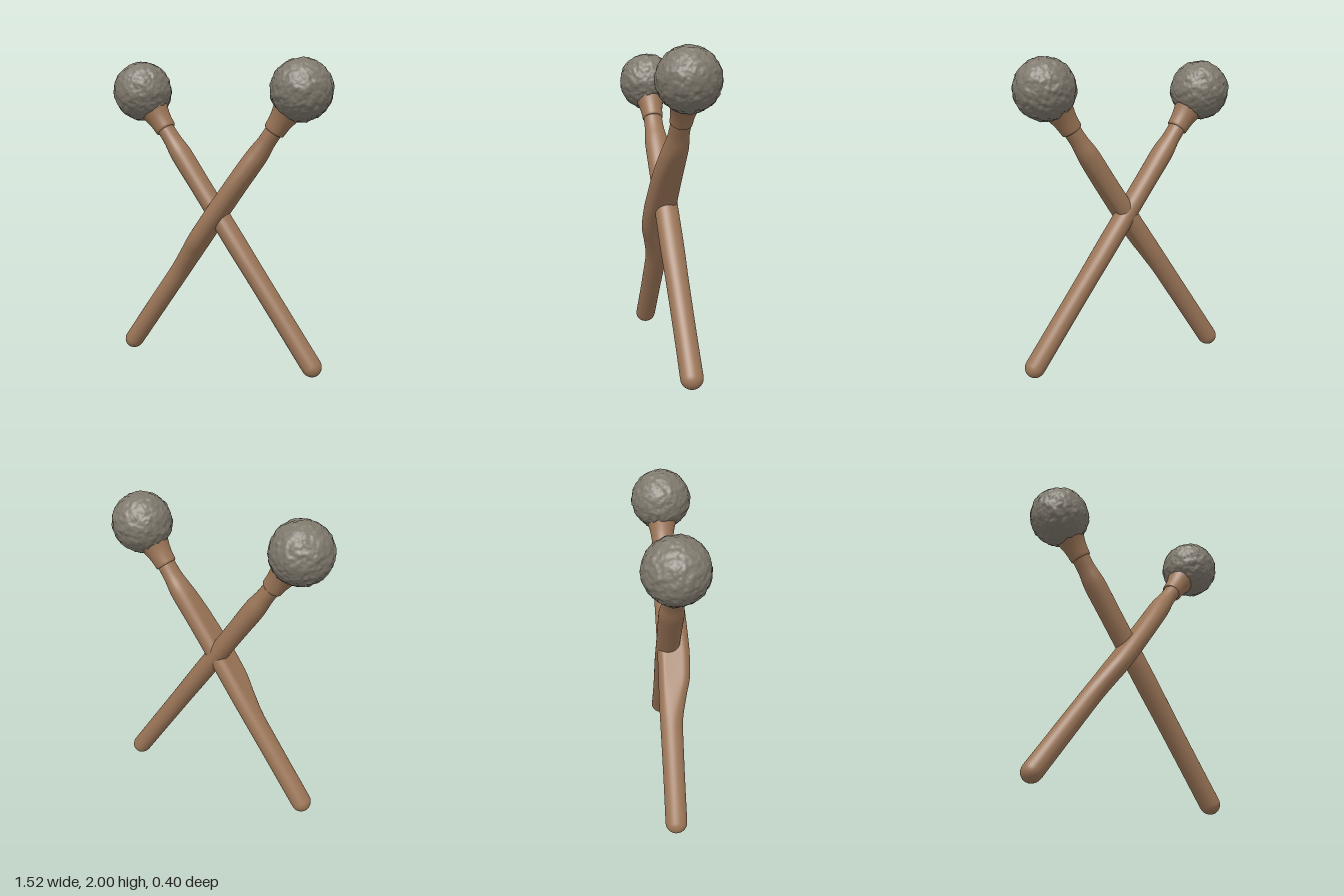
import * as THREE from 'three';
import { mergeVertices } from 'three/addons/utils/BufferGeometryUtils.js';

const wood = new THREE.MeshStandardMaterial({ color: 0x9c7658 });
wood.name = 'brown wood';
const stone = new THREE.MeshStandardMaterial({ color: 0x7f796d });
stone.name = 'grey stone';

const TILT = Math.atan2(1.225, 1.735);
const HEAD_Y = 2.122;

// Stations along the shaft: [height, half width, half depth, forward swell]
const STATIONS = [
  [0.0, 0.064, 0.07, 0], [0.3, 0.064, 0.07, 0], [0.62, 0.064, 0.073, 0], [0.8, 0.065, 0.077, 0.028],
  [0.92, 0.066, 0.078, 0.056], [1.04, 0.066, 0.078, 0.063], [1.16, 0.066, 0.078, 0.061],
  [1.4, 0.066, 0.078, 0.043], [1.56, 0.068, 0.079, 0.018], [1.64, 0.066, 0.077, 0.003],
  [1.73, 0.056, 0.066, 0], [1.84, 0.055, 0.063, 0],
];

// Shaft lofted from rounded sections, with a domed foot and an optional forward swell
function shaftGeometry(swollen) {
  const spline = (f) => new THREE.CatmullRomCurve3(STATIONS.map(f), false, 'catmullrom');
  const size = spline((s) => new THREE.Vector3(s[0], s[1], s[2]));
  const swell = spline((s) => new THREE.Vector3(s[0], s[3], 0));
  const rings = [];
  for (let i = 0; i < 8; i++) {
    const p = (i / 8) * Math.PI / 2, k = Math.max(Math.sin(p), 0.002);
    rings.push([-0.068 * Math.cos(p), 0.064 * k, 0.07 * k, 0]);
  }
  for (let i = 0; i <= 66; i++) {
    const p = size.getPoint(i / 66), d = swell.getPoint(i / 66).y;
    rings.push([p.x, p.y, p.z, swollen ? Math.max(d, 0) : 0]);
  }
  const N = 40, pos = [], idx = [];
  rings.forEach(([y, a, b, d], i) => {
    for (let j = 0; j < N; j++) {
      const t = (j / N) * Math.PI * 2, c = Math.cos(t), s = Math.sin(t);
      const pinch = 1 - 2.2 * d * Math.max(0, 1 - (s / 0.5) ** 2);
      const back = s < 0 ? 1 - 1.5 * d : 1;
      pos.push(c * a * pinch, y, s * b * back + d * THREE.MathUtils.smoothstep(s, -0.4, 0.4));
      if (i === rings.length - 1) continue;
      const p = i * N + j, q = i * N + (j + 1) % N;
      idx.push(p, p + N, q, q, p + N, q + N);
    }
  });
  const g = new THREE.BufferGeometry();
  g.setAttribute('position', new THREE.Float32BufferAttribute(pos, 3));
  g.setIndex(idx);
  g.computeVertexNormals();
  return g;
}

// Smooth value noise in 0..1
function hash(x, y, z) {
  const n = Math.sin(x * 127.1 + y * 311.7 + z * 74.7) * 43758.5453;
  return n - Math.floor(n);
}
function noise(x, y, z) {
  const X = Math.floor(x), Y = Math.floor(y), Z = Math.floor(z);
  const e = (v) => v * v * (3 - 2 * v);
  const u = e(x - X), v = e(y - Y), w = e(z - Z);
  let sum = 0;
  for (let i = 0; i < 2; i++) for (let j = 0; j < 2; j++) for (let k = 0; k < 2; k++) {
    sum += hash(X + i, Y + j, Z + k) * (i ? u : 1 - u) * (j ? v : 1 - v) * (k ? w : 1 - w);
  }
  return sum;
}

// Ball with a rough, pitted surface
function headGeometry(seed) {
  let g = new THREE.IcosahedronGeometry(1, 36);
  g.deleteAttribute('uv');
  g.deleteAttribute('normal');
  g = mergeVertices(g, 1e-4);
  const p = g.attributes.position, v = new THREE.Vector3();
  for (let i = 0; i < p.count; i++) {
    v.fromBufferAttribute(p, i).normalize();
    const f = (k) => noise(v.x * k + seed, v.y * k + seed, v.z * k + seed);
    v.multiplyScalar(0.193 + (f(7) - 0.5) * 0.011 + (f(14) - 0.5) * 0.005);
    p.setXYZ(i, v.x, v.y, v.z);
  }
  g.computeVertexNormals();
  return g;
}

// Flared collar below the head, with a rounded lip
function collarGeometry() {
  const profile = [
    [0.05, 1.812], [0.064, 1.812], [0.069, 1.817], [0.07, 1.83], [0.073, 1.87],
    [0.08, 1.91], [0.091, 1.95], [0.104, 1.985], [0.118, 2.02],
  ];
  return new THREE.LatheGeometry(profile.map(([r, y]) => new THREE.Vector2(r, y)), 40);
}

function mallet(name, side, swollen) {
  const group = new THREE.Group();
  group.name = name;
  const add = (part, geometry, material) => {
    const mesh = new THREE.Mesh(geometry, material);
    mesh.name = part;
    group.add(mesh);
    return mesh;
  };
  add('shaft', shaftGeometry(swollen), wood);
  add('collar', collarGeometry(), wood);
  add('head', headGeometry(swollen ? 20 : 50), stone).position.y = HEAD_Y;
  group.position.set(-0.66 * side, 0.067, 0);
  group.rotation.z = -side * TILT;
  return group;
}

export function createModel() {
  const model = new THREE.Group();
  model.name = 'crossedMallets';
  model.add(mallet('frontMallet', 1, true), mallet('backMallet', -1, false));
  return model;
}
